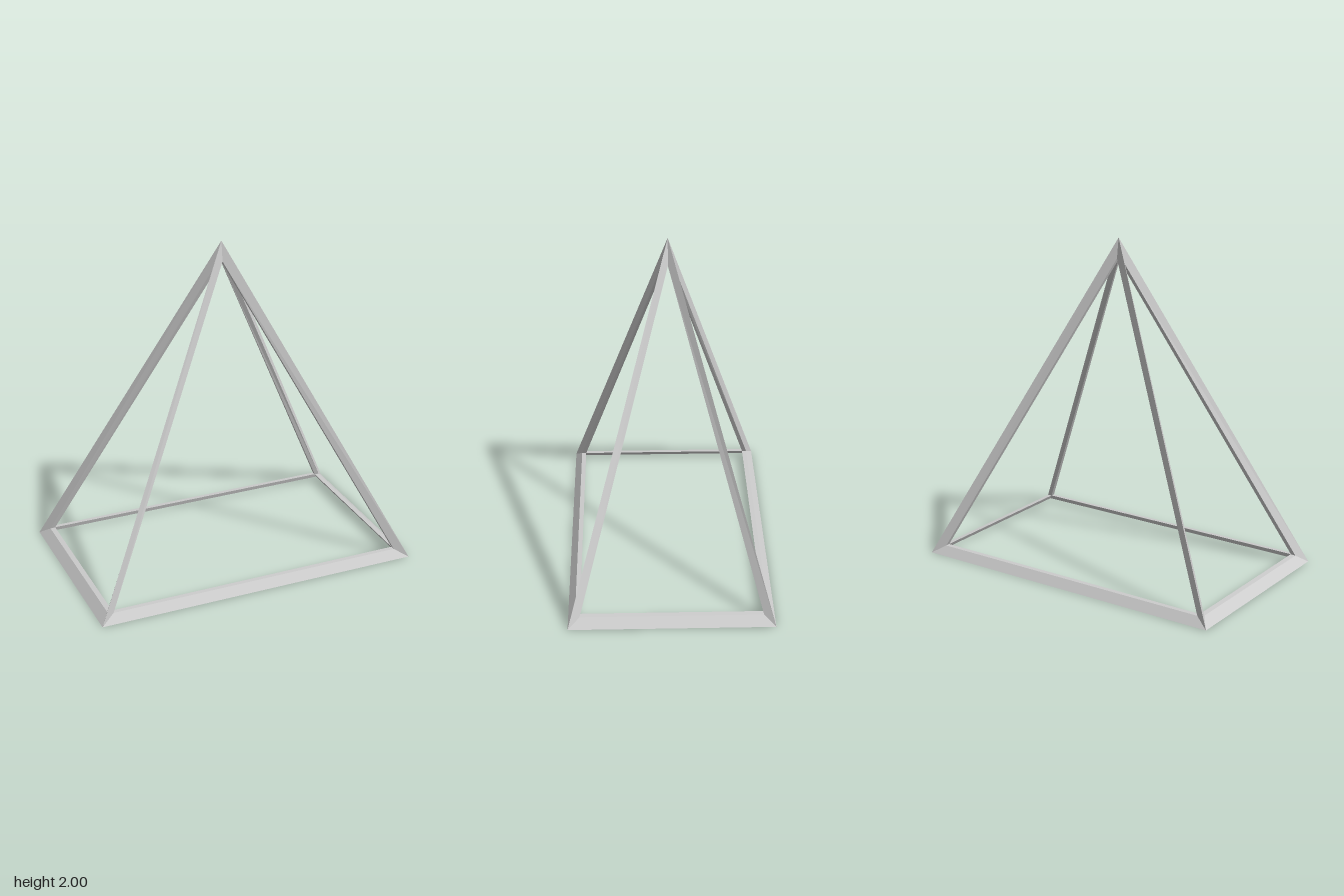
import * as THREE from 'three';

const D = 0.026;         // half the strut thickness
const APEX_DROP = 0.064; // apex distance from outer tip to strut centre line

export function createModel() {
  const group = new THREE.Group();
  group.name = 'pyramidFrame';
  const material = new THREE.MeshStandardMaterial({ color: 0xcccccc, flatShading: true });

  // Outer corners, centre-line corners and inner corners; index 4 is the apex
  const signs = [[1, 1], [1, -1], [-1, -1], [-1, 1]];
  const outer = signs.map(([x, z]) => new THREE.Vector3(x, 0, 0.6 * z));
  const mid = signs.map(([x, z]) => new THREE.Vector3(x * (1 - 1.618 * D), D, z * (0.6 - 1.344 * D)));
  outer.push(new THREE.Vector3(0, 2, 0));
  mid.push(new THREE.Vector3(0, 2 - APEX_DROP, 0));
  const inner = mid.map((m, i) => m.clone().multiplyScalar(2).sub(outer[i]));

  // Corner of a face's opening, set in from both neighbouring edges
  function inset(face, v) {
    const n = face.length, k = face.indexOf(v);
    const p = mid[face[(k + 1) % n]].clone().sub(mid[v]).normalize();
    const q = mid[face[(k + n - 1) % n]].clone().sub(mid[v]).normalize();
    const s = Math.sin(p.angleTo(q));
    return mid[v].clone().addScaledVector(p.add(q), D / s);
  }

  // Four-sided strut from corner a to b, between the faces on its two sides
  function addStrut(name, a, b, left, right) {
    const ring = (v) => [outer[v], inset(left, v), inner[v], inset(right, v)];
    const A = ring(a), B = ring(b), points = [];
    for (let i = 0; i < 4; i++) {
      const j = (i + 1) % 4;
      points.push(A[i], B[i], B[j], A[i], B[j], A[j]);
    }
    const geometry = new THREE.BufferGeometry().setFromPoints(points);
    geometry.computeVertexNormals();
    const mesh = new THREE.Mesh(geometry, material);
    mesh.name = name;
    group.add(mesh);
  }

  const sides = [0, 1, 2, 3].map((i) => [i, (i + 1) % 4, 4]);
  const bottom = [3, 2, 1, 0];
  const railNames = ['leftBaseRail', 'backBaseRail', 'rightBaseRail', 'frontBaseRail'];
  const legNames = ['backLeftLeg', 'backRightLeg', 'frontRightLeg', 'frontLeftLeg'];
  for (let i = 0; i < 4; i++) {
    const next = (i + 1) % 4;
    addStrut(railNames[i], i, next, sides[i], bottom);
    addStrut(legNames[i], next, 4, sides[i], sides[next]);
  }
  return group;
}
